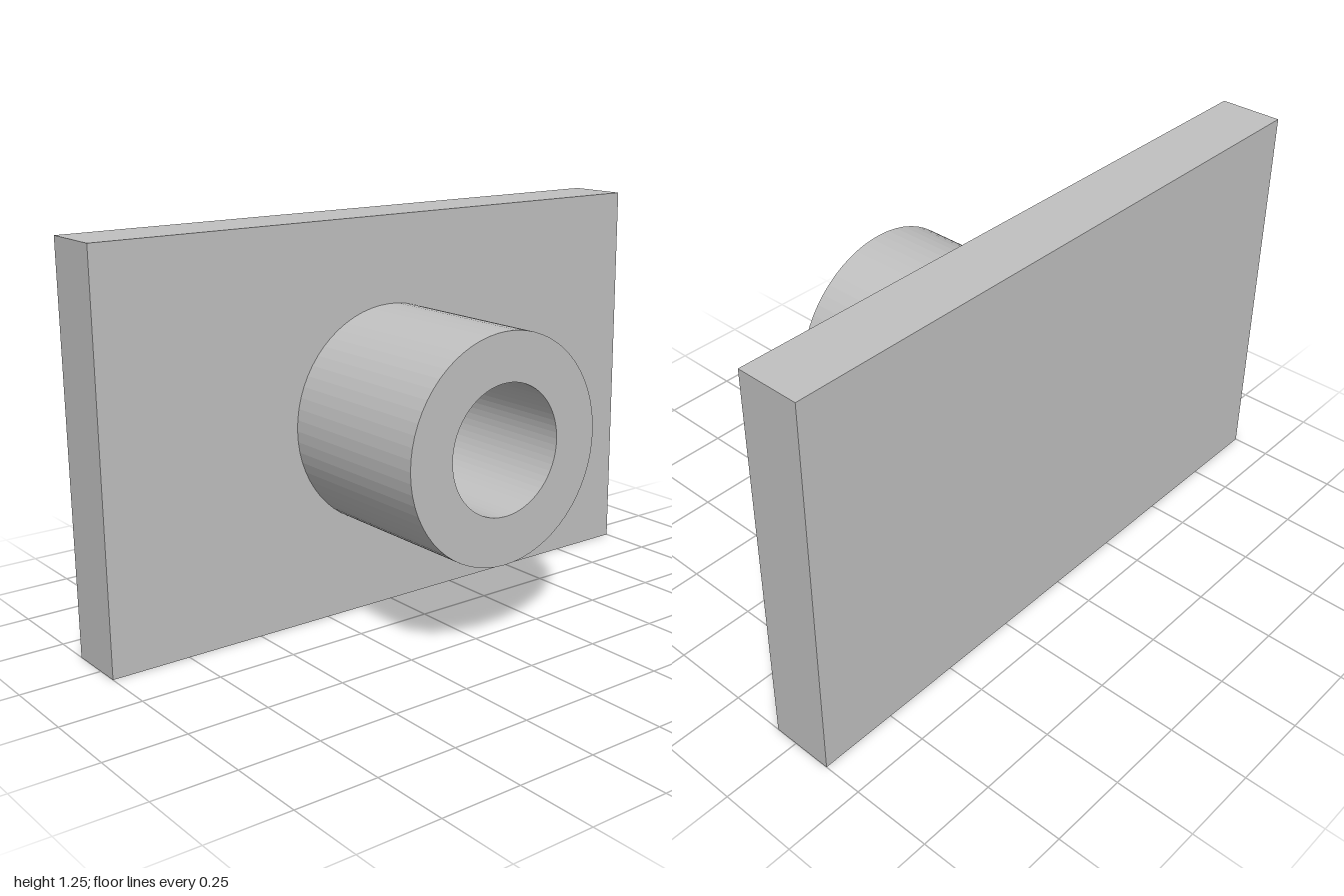
import * as THREE from 'three';

export function createModel() {
  const group = new THREE.Group();
  const grey = new THREE.MeshStandardMaterial({ color: 0xc0c0c0, flatShading: true });
  grey.name = 'grey metal';

  const width = 2, height = 1.25, thickness = 0.2;
  const back = -0.375, front = 0.375;
  const plateFront = back + thickness;

  // Solid mounting plate, standing upright at the back
  const plate = new THREE.Mesh(new THREE.BoxGeometry(width, height, thickness), grey);
  plate.name = 'mountingPlate';
  plate.position.set(0, height / 2, back + thickness / 2);
  group.add(plate);

  // Hollow boss: a ring extruded forward, its bore closed by the plate
  const ring = new THREE.Shape().absarc(0, 0, 0.35, 0, Math.PI * 2);
  ring.holes.push(new THREE.Path().absarc(0, 0, 0.2, 0, Math.PI * 2, true));
  const boss = new THREE.Mesh(
    new THREE.ExtrudeGeometry(ring, { depth: front - plateFront, bevelEnabled: false, curveSegments: 32 }),
    grey
  );
  boss.name = 'hollowBoss';
  boss.position.set(0, height / 2, plateFront);
  group.add(boss);

  return group;
}
